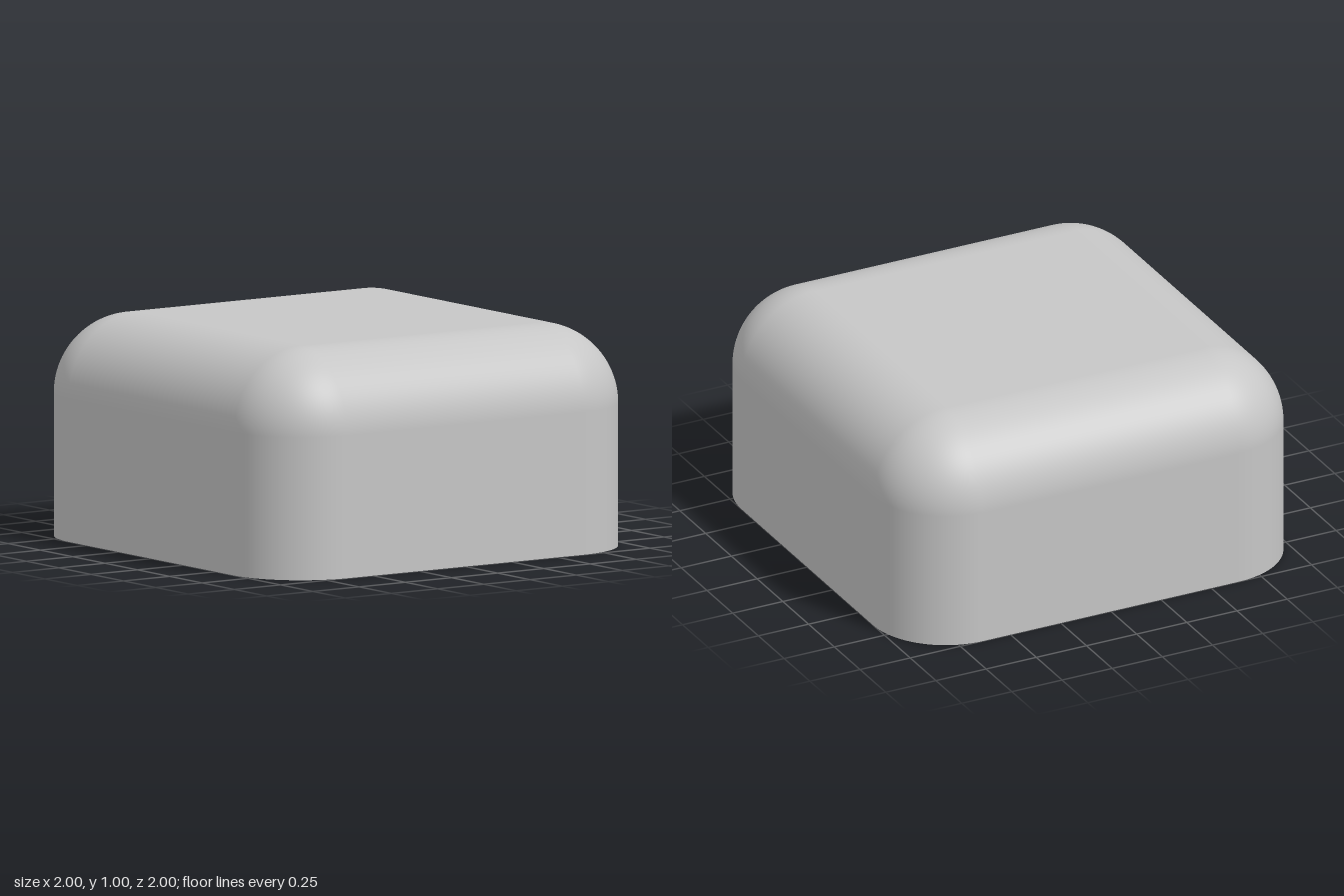
import * as THREE from 'three';

const C = 0.64;          // centre of every corner rounding, in x, y and z
const OUTER = 1, INNER = 0.89;
const SEG = 24;          // steps per quarter turn

// Domed box with rounded edges: rings of rounded squares; inward faces when flip is set.
// With openSides the straight part keeps only its four corners, so wall panels can fill it.
function domedBox(half, flip, openSides) {
  const R = half - C, ring = 4 * (SEG + 1);
  const rows = [[0, 0]];
  for (let i = 0; i <= SEG; i++) {
    const phi = (i / SEG) * Math.PI / 2;
    rows.push([C + R * Math.sin(phi), phi]);
  }
  const pos = [], nor = [], idx = [], s = flip ? -1 : 1;
  const tri = (a, b, c) => (flip ? idx.push(a, c, b) : idx.push(a, b, c));
  for (const [y, phi] of rows) {
    for (let k = 0; k < 4; k++) {
      const cx = k === 0 || k === 3 ? C : -C, cz = k < 2 ? C : -C;
      for (let j = 0; j <= SEG; j++) {
        const t = (k + j / SEG) * Math.PI / 2;
        const nx = Math.cos(phi) * Math.cos(t), nz = Math.cos(phi) * Math.sin(t);
        pos.push(cx + R * nx, y, cz + R * nz);
        nor.push(s * nx, s * Math.sin(phi), s * nz);
      }
    }
  }
  for (let r = 0; r < rows.length - 1; r++) {
    for (let i = 0; i < ring; i++) {
      if (openSides && r === 0 && i % (SEG + 1) === SEG) continue;
      const a = r * ring + i, d = r * ring + (i + 1) % ring;
      tri(a, a + ring, d + ring);
      tri(a, d + ring, d);
    }
  }
  // flat top
  const [p, q, u, v] = [0, 1, 2, 3].map(k => (rows.length - 1) * ring + k * (SEG + 1));
  tri(p, u, q);
  tri(p, v, u);
  const g = new THREE.BufferGeometry();
  g.setAttribute('position', new THREE.Float32BufferAttribute(pos, 3));
  g.setAttribute('normal', new THREE.Float32BufferAttribute(nor, 3));
  g.setIndex(idx);
  return g;
}

function roundedSquare(half, Type) {
  const s = new Type(), r = half - C;
  for (let k = 0; k < 4; k++) {
    const cx = k === 0 || k === 3 ? C : -C, cy = k < 2 ? C : -C;
    s.absarc(cx, cy, r, k * Math.PI / 2, (k + 1) * Math.PI / 2, false);
  }
  s.closePath();
  return s;
}

function rect(Type, x0, y0, x1, y1) {
  return new Type([[x0, y0], [x1, y0], [x1, y1], [x0, y1]].map(p => new THREE.Vector2(...p)));
}

export function createModel() {
  const group = new THREE.Group();
  const grey = new THREE.MeshStandardMaterial({ color: 0xc6c6c6 });
  grey.name = 'light grey';
  const add = (name, geometry, parent = group) => {
    const m = new THREE.Mesh(geometry, grey);
    m.name = name;
    parent.add(m);
    return m;
  };

  add('outerShell', domedBox(OUTER, false, false));
  add('innerShell', domedBox(INNER, true, true));

  // flat ring around the open underside
  const rim = roundedSquare(OUTER, THREE.Shape);
  rim.holes.push(roundedSquare(INNER, THREE.Path));
  add('bottomRim', new THREE.ShapeGeometry(rim, SEG).rotateX(Math.PI / 2));

  // inner walls, each with two shallow snap slots
  const depth = 0.04, slotX = 0.375, slotW = 0.26, y0 = 0.1, y1 = 0.157;
  for (let k = 0; k < 4; k++) {
    const wall = new THREE.Group();
    wall.name = 'innerWall' + (k + 1);
    wall.rotation.y = k * Math.PI / 2;
    group.add(wall);
    const panel = rect(THREE.Shape, -C, 0, C, C);
    for (const s of [-1, 1]) {
      const x = s * slotX;
      panel.holes.push(rect(THREE.Path, x - slotW / 2, y0, x + slotW / 2, y1));
      const floor = add('slotFloor', new THREE.PlaneGeometry(slotW, y1 - y0), wall);
      floor.position.set(x, (y0 + y1) / 2, -INNER - depth);
    }
    const face = add('wallPanel',
      new THREE.ExtrudeGeometry(panel, { depth, bevelEnabled: false }), wall);
    face.position.z = -INNER - depth;
  }

  // low ribs under the ceiling, running front to back into the rounded edges
  for (const s of [-1, 1]) {
    const rib = add('ceilingRib', new THREE.BoxGeometry(0.05, 0.07, 1.7));
    rib.position.set(s * 0.48, 0.87, 0);
  }
  return group;
}
